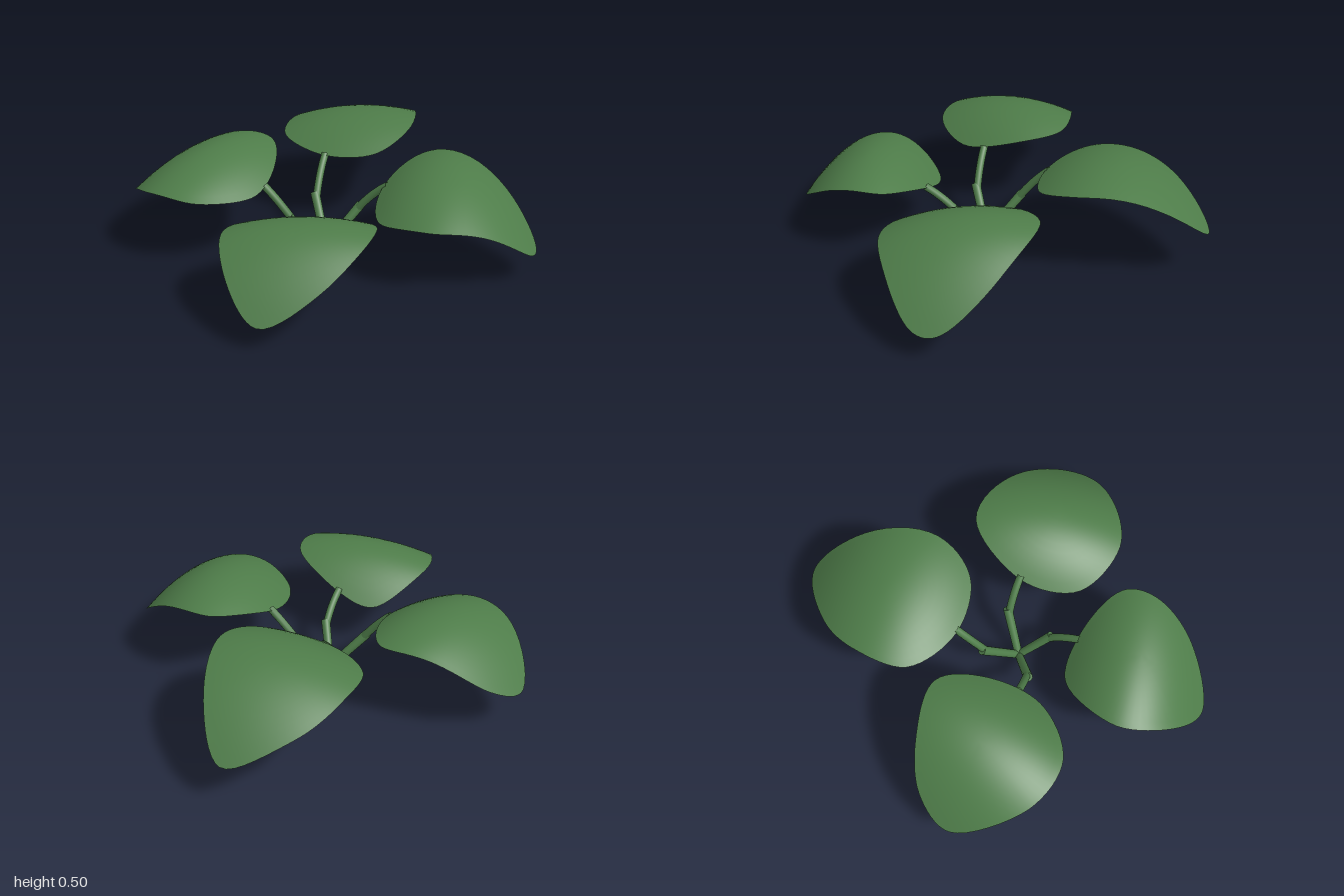
import * as THREE from 'three';

const green = new THREE.MeshStandardMaterial({ color: 0x4e7c49, side: THREE.DoubleSide });
green.name = 'leafGreen';

const ROOT = new THREE.Vector3(-0.02, 0.02, 0.06);

// Height of a leaf: arched outwards (bend), cupped sideways, with a sideways tilt and twist
function heightAt({ axis, sign, peak, mid, bend, cup, tilt = 0, twist = 0 }, p) {
  const r = sign * p[axis];
  const s = axis === 'x' ? p.z : p.x;
  return peak - bend * (r - mid) ** 2 - cup * s * s + tilt * s + twist * r * s;
}

// Leaf blade: rings shrinking from a smooth outline to the middle, laid on the curved surface
function bladeGeometry(outline, form) {
  const around = 64, rings = 10;
  const corners = outline.map(([x, z]) => new THREE.Vector3(x, 0, z));
  const rim = new THREE.CatmullRomCurve3(corners, true).getPoints(around).slice(0, around);
  const centre = new THREE.Vector3();
  rim.forEach((p) => centre.addScaledVector(p, 1 / around));

  const positions = [centre.x, heightAt(form, centre), centre.z];
  const index = [];
  for (let k = 1; k <= rings; k++) {
    for (let i = 0; i < around; i++) {
      const p = centre.clone().lerp(rim[i], k / rings);
      positions.push(p.x, heightAt(form, p), p.z);
      const a = 1 + (k - 1) * around + i;
      const b = 1 + (k - 1) * around + ((i + 1) % around);
      if (k === 1) index.push(0, b, a);
      else index.push(a - around, b - around, a, b - around, b, a);
    }
  }
  const geometry = new THREE.BufferGeometry();
  geometry.setAttribute('position', new THREE.Float32BufferAttribute(positions, 3));
  geometry.setIndex(index);
  geometry.computeVertexNormals();
  return geometry;
}

function part(name, geometry) {
  const mesh = new THREE.Mesh(geometry, green);
  mesh.name = name;
  return mesh;
}

// Straight lower stalk from the root to the joint
function lowerStalk(joint) {
  const mesh = part('lowerStalk', new THREE.CylinderGeometry(0.023, 0.02, ROOT.distanceTo(joint), 12));
  mesh.position.copy(ROOT).lerp(joint, 0.5);
  mesh.quaternion.setFromUnitVectors(new THREE.Vector3(0, 1, 0), joint.clone().sub(ROOT).normalize());
  return mesh;
}

// Upper stalk bending over from the joint to the blade
function upperStalk(joint, end) {
  const start = joint.clone().lerp(ROOT, 0.12);
  const control = joint.clone().lerp(end, 0.4);
  control.y += 0.02;
  const path = new THREE.QuadraticBezierCurve3(start, control, end);
  return part('upperStalk', new THREE.TubeGeometry(path, 10, 0.019, 10));
}

// One leaf with its stalk; the outline runs clockwise in plan as x, z pairs
function leaf(name, form, joint, end, outline) {
  const group = new THREE.Group();
  group.name = name;
  end.y = heightAt(form, end) - 0.012;
  group.add(part('blade', bladeGeometry(outline, form)), lowerStalk(joint), upperStalk(joint, end));
  return group;
}

export function createModel() {
  const model = new THREE.Group();
  model.name = 'fourLeafPlant';
  const at = (x, y, z) => new THREE.Vector3(x, y, z);

  model.add(leaf('leftLeaf',
    { axis: 'x', sign: 1, peak: 0.46, mid: 0.53, bend: 1.55, cup: 0.53 },
    at(0.14, 0.215, -0.02), at(0.27, 0, 0.025),
    [[0.49, -0.23], [0.81, -0.08], [0.97, 0.15], [0.95, 0.28], [0.785, 0.405], [0.495, 0.48], [0.255, 0.32], [0.25, 0.02]]));

  model.add(leaf('rightLeaf',
    { axis: 'x', sign: -1, peak: 0.47, mid: 0.55, bend: 1.29, cup: 0.7, tilt: -0.545, twist: 0.79 },
    at(-0.19, 0.2, 0.13), at(-0.31, 0, 0.1),
    [[-0.98, -0.12], [-0.84, -0.28], [-0.6, -0.325], [-0.34, -0.28], [-0.28, -0.05], [-0.35, 0.21], [-0.605, 0.35], [-0.85, 0.23]]));

  model.add(leaf('backLeaf',
    { axis: 'z', sign: -1, peak: 0.49, mid: 0.52, bend: 1.17, cup: 0.45, tilt: 0.245, twist: -0.17 },
    at(-0.095, 0.22, -0.11), at(-0.06, 0, -0.24),
    [[0.2, -0.995], [0.33, -0.79], [0.355, -0.39], [0.2, -0.21], [-0.08, -0.23], [-0.29, -0.43], [-0.24, -0.69], [-0.1, -0.87]]));

  model.add(leaf('frontLeaf',
    { axis: 'z', sign: 1, peak: 0.42, mid: 0.6, bend: 1.93, cup: 0.4 },
    at(0.04, 0.19, 0.21), at(0.005, 0, 0.35),
    [[-0.2, 0.31], [0.02, 0.34], [0.25, 0.515], [0.24, 0.675], [0.08, 0.88], [-0.2, 0.985], [-0.35, 0.85], [-0.41, 0.57]]));

  // Small rounded root where the stalks meet
  const root = part('root', new THREE.SphereGeometry(0.02, 12, 8));
  root.position.copy(ROOT);
  model.add(root);
  return model;
}
